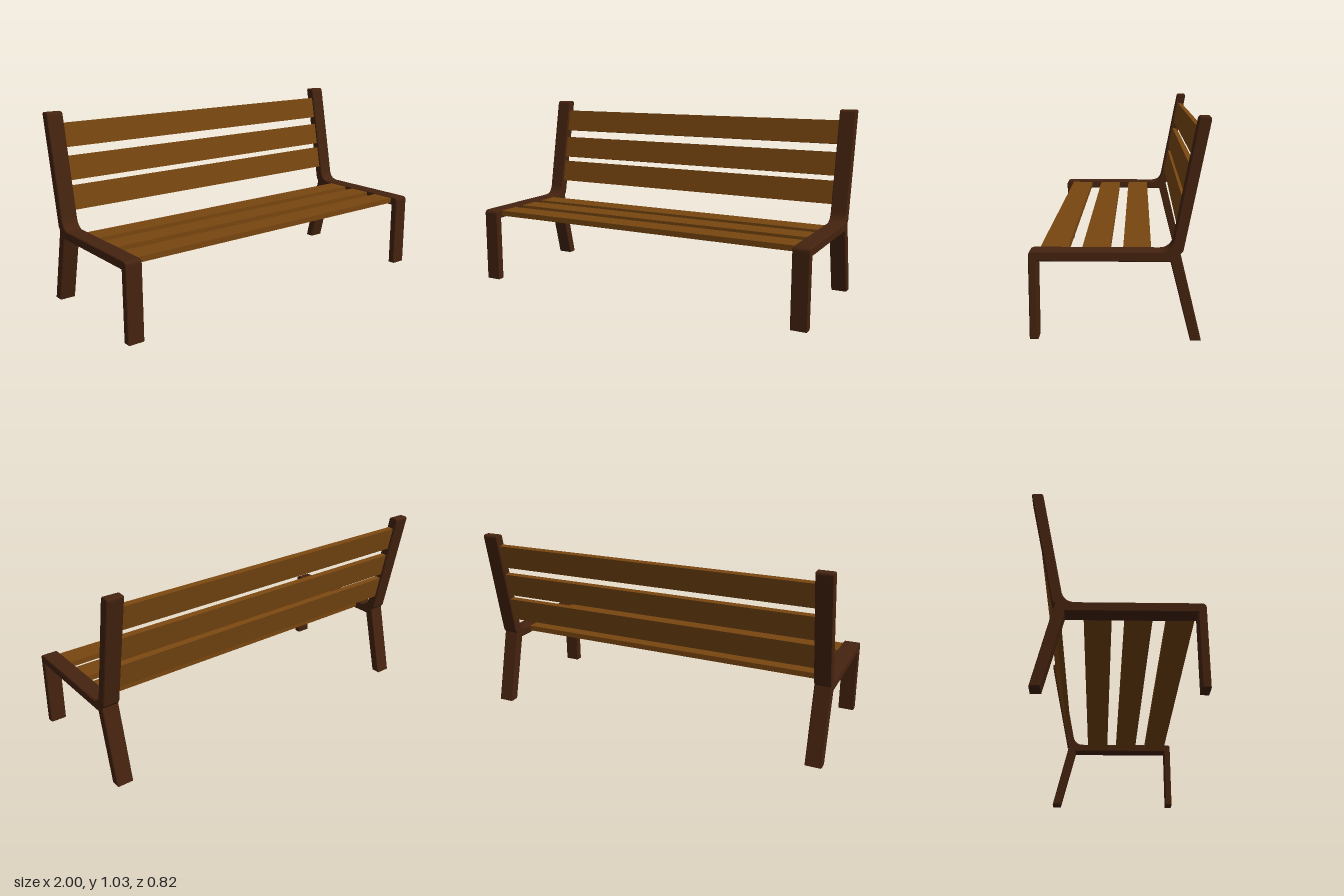
import * as THREE from 'three';

export function createModel() {
  const bench = new THREE.Group();
  bench.name = 'bench';
  const darkWood = new THREE.MeshStandardMaterial({ color: 0x45230f });
  darkWood.name = 'dark brown frame';
  const slatWood = new THREE.MeshStandardMaterial({ color: 0x784610 });
  slatWood.name = 'warm brown slats';

  // Side frame outline, drawn as (z, y): legs, seat rail and raked back post in one piece
  const s = new THREE.Shape();
  s.moveTo(0.41, 0);
  s.lineTo(0.41, 0.4);
  s.quadraticCurveTo(0.41, 0.42, 0.385, 0.42);
  s.lineTo(-0.19, 0.42);
  s.quadraticCurveTo(-0.238, 0.423, -0.25, 0.47);
  s.lineTo(-0.354, 1.015);
  s.quadraticCurveTo(-0.357, 1.03, -0.37, 1.03);
  s.lineTo(-0.4, 1.03);
  s.quadraticCurveTo(-0.411, 1.03, -0.41, 1.015);
  s.lineTo(-0.294, 0.425);
  s.lineTo(-0.281, 0.41);
  s.lineTo(-0.38, 0);
  s.lineTo(-0.33, 0);
  s.lineTo(-0.236, 0.373);
  s.lineTo(0.37, 0.373);
  s.lineTo(0.37, 0);
  s.closePath();

  const width = 0.09, bevel = 0.004;
  const frameGeo = new THREE.ExtrudeGeometry(s, {
    depth: width - 2 * bevel, bevelEnabled: true, bevelSegments: 1,
    bevelSize: bevel, bevelThickness: bevel, bevelOffset: -bevel, curveSegments: 5,
  });
  frameGeo.translate(0, 0, bevel - width / 2);
  frameGeo.rotateY(-Math.PI / 2);
  for (const side of [-1, 1]) {
    const frame = new THREE.Mesh(frameGeo, darkWood);
    frame.name = side > 0 ? 'leftFrame' : 'rightFrame';
    frame.position.x = side * (1 - width / 2);
    bench.add(frame);
  }

  // Boards running between the frames
  const length = 1.83;
  function addSlat(name, h, d, y, z, tilt = 0) {
    const slat = new THREE.Mesh(new THREE.BoxGeometry(length, h, d), slatWood);
    slat.name = name;
    slat.position.set(0, y, z);
    slat.rotation.x = tilt;
    bench.add(slat);
  }
  [0.3, 0.105, -0.085].forEach((z, i) => addSlat(`seatSlat${i + 1}`, 0.03, 0.13, 0.4, z));

  // Back boards follow the rake of the posts
  const slope = 0.193;
  [0.573, 0.73, 0.904].forEach((y, i) =>
    addSlat(`backSlat${i + 1}`, 0.131, 0.03, y, -0.277 - slope * (y - 0.47), -Math.atan(slope)));

  return bench;
}
